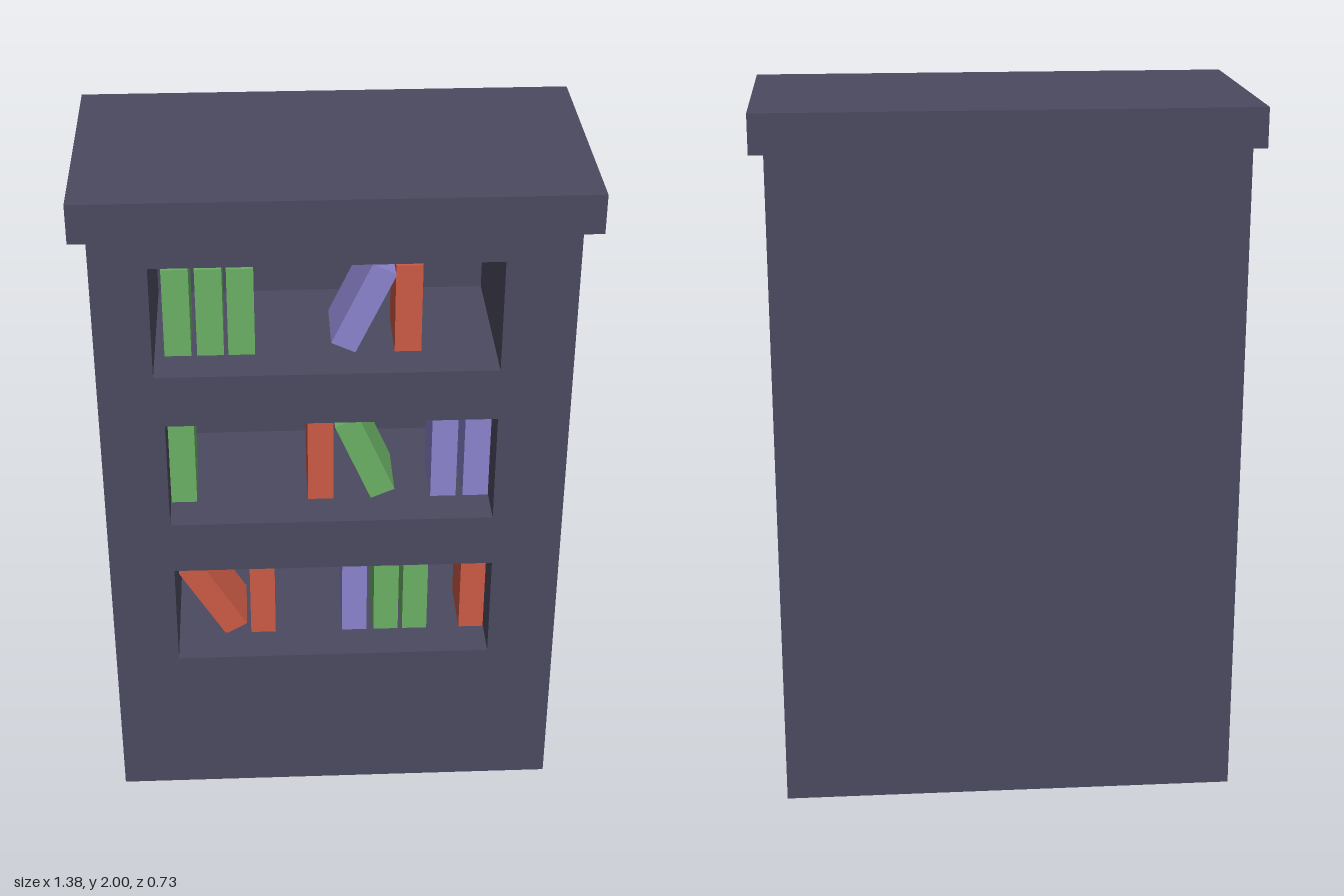
import * as THREE from 'three';

const material = (color) => new THREE.MeshStandardMaterial({ color, flatShading: true });

export function createModel() {
  const model = new THREE.Group();
  model.name = 'bookcase';
  const wood = material(0x4b4a5f);
  const covers = {
    green: material(0x6bb065),
    red: material(0xcb5a45),
    violet: material(0x8a82cc),
  };

  const addBox = (name, size, position, mat, parent = model) => {
    const mesh = new THREE.Mesh(new THREE.BoxGeometry(...size), mat);
    mesh.name = name;
    mesh.position.set(...position);
    parent.add(mesh);
    return mesh;
  };

  // Shelves: opening edges, upright books [colour, centre x], leaning book [colour, x, y, tilt]
  const shelves = [
    { left: -0.495, right: 0.45, bottom: 1.445, top: 1.775,
      upright: [['green', -0.43], ['green', -0.34], ['green', -0.254], ['red', 0.206]],
      leaning: ['violet', 0.083, 1.58, -0.44] },
    { left: -0.47, right: 0.45, bottom: 0.96, top: 1.29,
      upright: [['green', -0.432], ['red', -0.037], ['violet', 0.318], ['violet', 0.412]],
      leaning: ['green', 0.09, 1.095, 0.405] },
    { left: -0.465, right: 0.455, bottom: 0.48, top: 0.8,
      upright: [['red', -0.212], ['violet', 0.063], ['green', 0.158], ['green', 0.245], ['red', 0.417]],
      leaning: ['red', -0.36, 0.61, 0.53] },
  ];

  // Case with shelf openings, closed by a back panel
  const W = 0.65, H = 1.89, FRONT = 0.285, BACK = -0.365, NICHE = -0.21;
  const rectangle = (path, l, r, b, t) =>
    path.moveTo(l, b).lineTo(r, b).lineTo(r, t).lineTo(l, t).closePath();
  const face = rectangle(new THREE.Shape(), -W, W, 0, H);
  for (const s of shelves) {
    face.holes.push(rectangle(new THREE.Path(), s.left, s.right, s.bottom, s.top));
  }
  const body = new THREE.Mesh(
    new THREE.ExtrudeGeometry(face, { depth: FRONT - NICHE, bevelEnabled: false }), wood);
  body.name = 'caseBody';
  body.position.z = NICHE;
  model.add(body);
  addBox('backPanel', [2 * W, H, NICHE - BACK], [0, H / 2, (NICHE + BACK) / 2], wood);

  // Overhanging top, flush with the back
  addBox('topSlab', [1.38, 0.11, 0.73], [0, 1.945, 0], wood);

  // Books
  const bookSize = [0.074, 0.265, 0.19], bookZ = 0.072;
  shelves.forEach((s, i) => {
    const row = new THREE.Group();
    row.name = `bookRow${i + 1}`;
    model.add(row);
    for (const [color, x] of s.upright) {
      addBox('uprightBook', bookSize, [x, s.bottom + bookSize[1] / 2, bookZ], covers[color], row);
    }
    const [color, x, y, tilt] = s.leaning;
    addBox('leaningBook', bookSize, [x, y, bookZ], covers[color], row).rotation.z = tilt;
  });

  return model;
}
